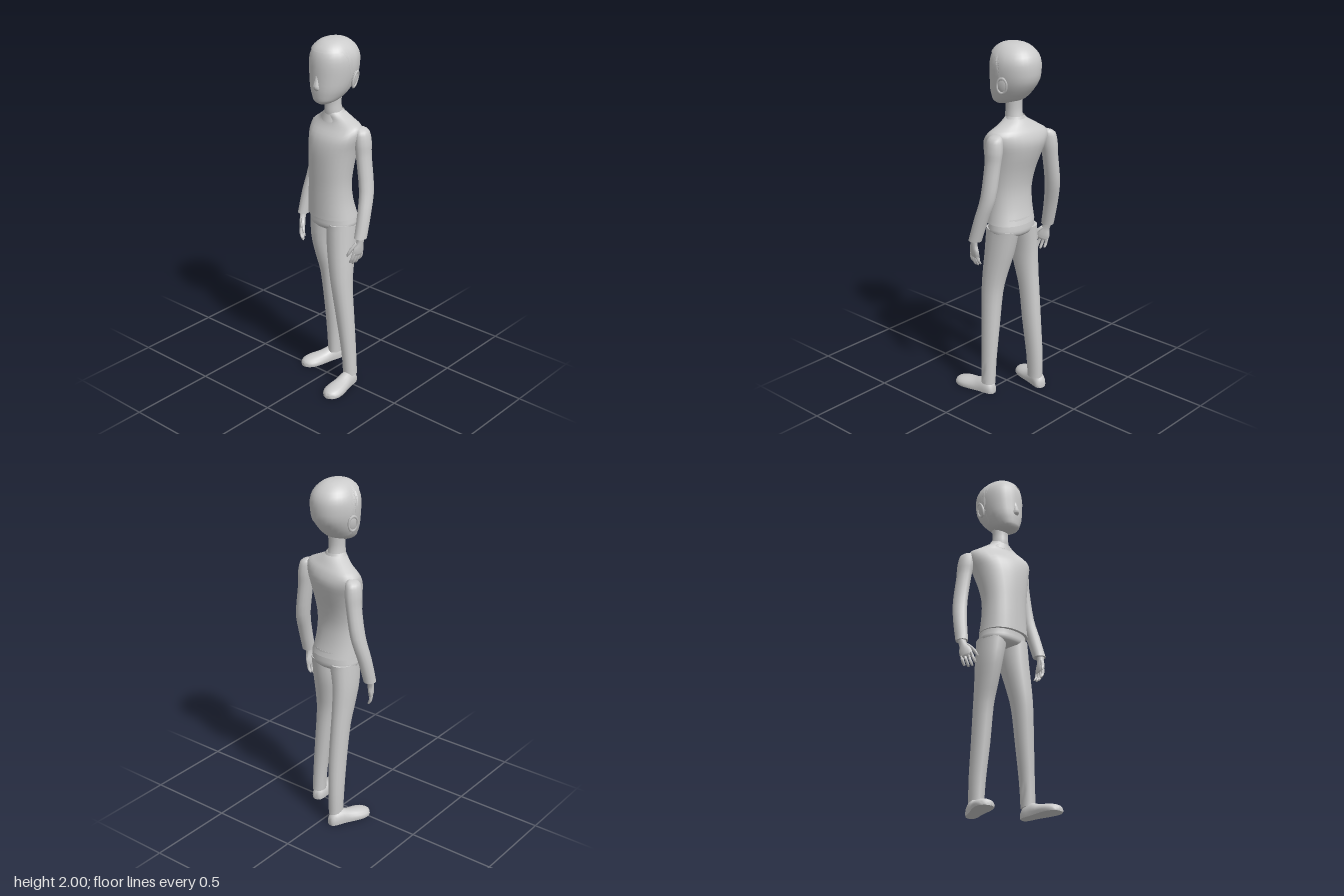
import * as THREE from 'three';
import { toCreasedNormals } from 'three/addons/utils/BufferGeometryUtils.js';

const material = new THREE.MeshStandardMaterial({ color: 0xcccccc });
const thin = new THREE.MeshStandardMaterial({ color: 0xcccccc, side: THREE.DoubleSide });

// Smooth interpolation between cross-section rows; t counts rows.
function sample(rows, t) {
  const n = rows.length - 1;
  const i = Math.min(Math.floor(t), n - 1), f = t - i;
  const at = k => rows[Math.max(0, Math.min(n, k))];
  return rows[i].map((b, k) => {
    const a = at(i - 1)[k], c = at(i + 1)[k], d = at(i + 2)[k];
    return b + 0.5 * f * (c - a + f * (2 * a - 5 * b + 4 * c - d + f * (3 * (b - c) + d - a)));
  });
}

// Closed skin around rings given by point(angle, v), with optional end caps.
function skin(nu, nv, point, caps = true) {
  const pos = [], index = [];
  for (let j = 0; j <= nv; j++)
    for (let i = 0; i < nu; i++) pos.push(...point((i / nu) * Math.PI * 2, j / nv));
  for (let j = 0; j < nv; j++)
    for (let i = 0; i < nu; i++) {
      const k = (i + 1) % nu, a = j * nu + i, b = j * nu + k;
      index.push(a, a + nu, b, b, a + nu, b + nu);
    }
  if (caps)
    for (const j of [0, nv]) {
      const c = [0, 0, 0];
      for (let i = 0; i < nu; i++) for (let k = 0; k < 3; k++) c[k] += pos[(j * nu + i) * 3 + k] / nu;
      const m = pos.length / 3;
      pos.push(...c);
      for (let i = 0; i < nu; i++) {
        const a = j * nu + i, b = j * nu + (i + 1) % nu;
        j ? index.push(a, m, b) : index.push(a, b, m);
      }
    }
  const g = new THREE.BufferGeometry();
  g.setAttribute('position', new THREE.Float32BufferAttribute(pos, 3));
  g.setIndex(index);
  return toCreasedNormals(g, 0.9);
}

function add(parent, name, geometry, mat = material) {
  const mesh = new THREE.Mesh(geometry, mat);
  mesh.name = name;
  parent.add(mesh);
  return mesh;
}

// Point on a horizontal ring [y, cx, cz, rx, rz, twist]; power squares it off.
function ring([y, cx, cz, rx, rz, twist = 0], a, power = 2) {
  const bend = v => Math.sign(v) * Math.abs(v) ** (2 / power);
  const x = rx * bend(Math.cos(a)), z = rz * bend(Math.sin(a));
  return [cx + x, y + x * twist * 0.4, cz + z + x * twist];
}

// Body part built from rings listed from either end.
function limb(rows, nu = 14, power = 2, steps = 3) {
  const up = rows[0][0] < rows[rows.length - 1][0] ? rows : [...rows].reverse();
  const n = up.length - 1;
  return skin(nu, n * steps, (a, v) => ring(sample(up, v * n), a, power));
}

const headRows = [
  [1.66, 0, 0.03, 0.03, 0.03], [1.675, 0, 0.01, 0.06, 0.067], [1.70, 0, -0.014, 0.08, 0.096],
  [1.74, 0, -0.032, 0.1, 0.118], [1.80, 0, -0.053, 0.115, 0.138], [1.86, 0, -0.058, 0.122, 0.142],
  [1.91, 0, -0.059, 0.119, 0.137], [1.95, 0, -0.056, 0.1, 0.118], [1.98, 0, -0.054, 0.068, 0.082],
  [1.993, 0, -0.055, 0.036, 0.045], [1.997, 0, -0.055, 0.002, 0.002],
];

function buildHead() {
  const head = new THREE.Group();
  head.name = 'head';
  add(head, 'face', limb(headRows, 24, 2.1, 2));
  // hair shell: high over the forehead, low behind the ears
  add(head, 'hair', skin(32, 16, (a, v) => {
    const low = 2.2 + 4.5 * THREE.MathUtils.smoothstep(Math.sin(a), -0.3, 0.4);
    const r = sample(headRows, low + (10 - low) * v);
    r[0] += 0.003;
    r[3] += 0.003;
    r[4] += 0.003;
    return ring(r, a, 2.1);
  }, false), thin);
  // nose
  add(head, 'nose', limb([[1.735, 0, 0.074, 0.012, 0.01], [1.75, 0, 0.078, 0.021, 0.021],
    [1.765, 0, 0.08, 0.018, 0.021], [1.80, 0, 0.078, 0.011, 0.012], [1.84, 0, 0.074, 0.006, 0.006]], 10));
  // ears: thin shell with a raised rim
  for (const side of [1, -1]) {
    const ear = new THREE.Group();
    ear.name = side > 0 ? 'leftEar' : 'rightEar';
    add(ear, 'earShell', new THREE.SphereGeometry(1, 12, 10).scale(0.011, 0.046, 0.03));
    add(ear, 'earRim', new THREE.TorusGeometry(0.028, 0.006, 6, 18).rotateY(Math.PI / 2).scale(1, 1.5, 1))
      .position.x = side * 0.006;
    ear.position.set(side * 0.122, 1.79, -0.078);
    ear.rotation.set(-0.2, side * 0.3, -side * 0.12);
    head.add(ear);
  }
  return head;
}

// Hand hanging from the wrist, thumb to the front, palm inward.
function buildHand(side, position, tilt, yaw) {
  const hand = new THREE.Group();
  hand.name = side > 0 ? 'leftHand' : 'rightHand';
  const part = (name, rows, nu) =>
    add(hand, name, limb(rows.map(([y, x, z, rx, rz]) => [y, x * side, z, rx, rz]), nu));
  part('palm', [[0.02, 0, 0, 0.02, 0.023], [-0.02, 0, 0, 0.017, 0.023], [-0.05, -0.002, 0, 0.016, 0.034],
    [-0.08, -0.004, 0, 0.014, 0.036], [-0.092, -0.005, 0, 0.009, 0.031]], 12);
  [0.062, 0.072, 0.068, 0.052].forEach((len, i) => {
    const z = 0.027 - i * 0.018;
    part('finger', [[-0.08, -0.004, z, 0.01, 0.009], [-0.08 - len * 0.5, -0.007, z * 1.12, 0.009, 0.0085],
      [-0.08 - len * 0.9, -0.017, z * 1.15, 0.007, 0.007], [-0.08 - len, -0.02, z * 1.15, 0.002, 0.002]], 8);
  });
  part('thumb', [[-0.02, -0.004, 0.018, 0.011, 0.012], [-0.055, -0.014, 0.04, 0.01, 0.011],
    [-0.09, -0.023, 0.051, 0.008, 0.008], [-0.104, -0.026, 0.053, 0.002, 0.002]], 8);
  hand.position.set(...position);
  hand.rotation.set(tilt, yaw, -side * 0.1, 'XZY');
  return hand;
}

// Shoe from upright sections [distance, halfWidth, height], flat underneath.
function buildShoe(name, x, z, turn) {
  const rows = [[-0.05, 0.012, 0.03], [-0.042, 0.028, 0.055], [-0.015, 0.037, 0.08], [0.03, 0.04, 0.082],
    [0.075, 0.047, 0.064], [0.13, 0.056, 0.055], [0.175, 0.052, 0.046], [0.203, 0.033, 0.034], [0.214, 0.01, 0.022]];
  const n = rows.length - 1;
  const shoe = new THREE.Group();
  shoe.name = name;
  add(shoe, 'shoeUpper', skin(16, n * 2, (a, v) => {
    const [s, w, h] = sample(rows, v * n);
    return [-w * Math.cos(a), Math.max(0, h * (0.3 + 0.7 * Math.sin(a))), s];
  }));
  shoe.position.set(x, 0, z);
  shoe.rotation.y = turn;
  return shoe;
}

export function createModel() {
  const model = new THREE.Group();
  model.name = 'standingFigure';
  model.add(buildHead());
  add(model, 'neck', limb([[1.54, 0, -0.065, 0.055, 0.055], [1.6, 0, -0.052, 0.048, 0.049],
    [1.65, 0, -0.05, 0.045, 0.044], [1.72, 0, -0.05, 0.05, 0.05]], 16));

  // shirt: shoulders turned a little, right one lower and further back
  add(model, 'shirt', limb([
    [1.015, 0.012, -0.036, 0.142, 0.116, 0], [1.1, 0.006, -0.026, 0.132, 0.106, 0.02],
    [1.2, 0.004, -0.022, 0.129, 0.102, 0.05], [1.3, 0.004, -0.03, 0.139, 0.11, 0.09],
    [1.4, 0.004, -0.048, 0.157, 0.122, 0.13], [1.47, 0.004, -0.065, 0.177, 0.118, 0.16],
    [1.52, 0.002, -0.08, 0.176, 0.09, 0.16], [1.553, 0, -0.078, 0.125, 0.07, 0.15],
    [1.583, 0, -0.066, 0.072, 0.06, 0.08], [1.6, 0, -0.058, 0.05, 0.05, 0]], 24, 2.2));
  // collar dipping at the front
  add(model, 'collar', skin(20, 2, (a, v) => {
    const dip = 0.03 * Math.max(0, Math.sin(a));
    return ring([1.575 + v * 0.032 - dip * (1 - v * 0.4), 0, -0.058, 0.07 - v * 0.018, 0.064 - v * 0.011], a);
  }, false), thin);

  // sleeves
  add(model, 'leftSleeve', limb([
    [1.535, 0.165, -0.078, 0.012, 0.02], [1.515, 0.178, -0.078, 0.036, 0.044], [1.45, 0.187, -0.078, 0.042, 0.052],
    [1.38, 0.194, -0.076, 0.038, 0.048], [1.2, 0.222, -0.068, 0.037, 0.046], [1.08, 0.238, -0.034, 0.036, 0.041],
    [0.945, 0.247, 0.007, 0.034, 0.038]]));
  add(model, 'rightSleeve', limb([
    [1.51, -0.16, -0.138, 0.012, 0.02], [1.49, -0.174, -0.14, 0.036, 0.044], [1.43, -0.18, -0.143, 0.042, 0.052],
    [1.36, -0.187, -0.147, 0.038, 0.048], [1.2, -0.212, -0.145, 0.037, 0.046], [1.06, -0.236, -0.115, 0.036, 0.041],
    [0.925, -0.248, -0.083, 0.032, 0.037]]));
  model.add(buildHand(1, [0.25, 0.935, 0.012], -0.1, -0.15));
  model.add(buildHand(-1, [-0.249, 0.915, -0.078], -0.3, 0.5));

  // trousers
  add(model, 'trouserSeat', limb([
    [1.05, 0.01, -0.04, 0.13, 0.104], [1.0, 0.012, -0.044, 0.137, 0.106], [0.965, 0.012, -0.044, 0.137, 0.105],
    [0.942, 0.01, -0.044, 0.09, 0.08], [0.932, 0.005, -0.044, 0.02, 0.02]], 24, 2.2));
  add(model, 'leftTrouserLeg', limb([
    [0.98, 0.078, -0.04, 0.072, 0.1], [0.85, 0.085, -0.025, 0.072, 0.088], [0.72, 0.1, -0.006, 0.064, 0.073],
    [0.6, 0.115, 0.004, 0.055, 0.062], [0.4, 0.137, -0.002, 0.047, 0.052], [0.2, 0.158, -0.008, 0.038, 0.044],
    [0.06, 0.167, -0.01, 0.037, 0.041]], 16, 2.2));
  add(model, 'rightTrouserLeg', limb([
    [0.98, -0.056, -0.055, 0.07, 0.098], [0.85, -0.07, -0.062, 0.06, 0.09], [0.72, -0.07, -0.083, 0.053, 0.075],
    [0.6, -0.068, -0.107, 0.048, 0.062], [0.4, -0.065, -0.13, 0.045, 0.057], [0.2, -0.069, -0.149, 0.04, 0.05],
    [0.06, -0.07, -0.154, 0.036, 0.045]], 16, 2.2));

  model.add(buildShoe('leftShoe', 0.167, 0, 0.09));
  model.add(buildShoe('rightShoe', -0.083, -0.163, -0.36));
  return model;
}
